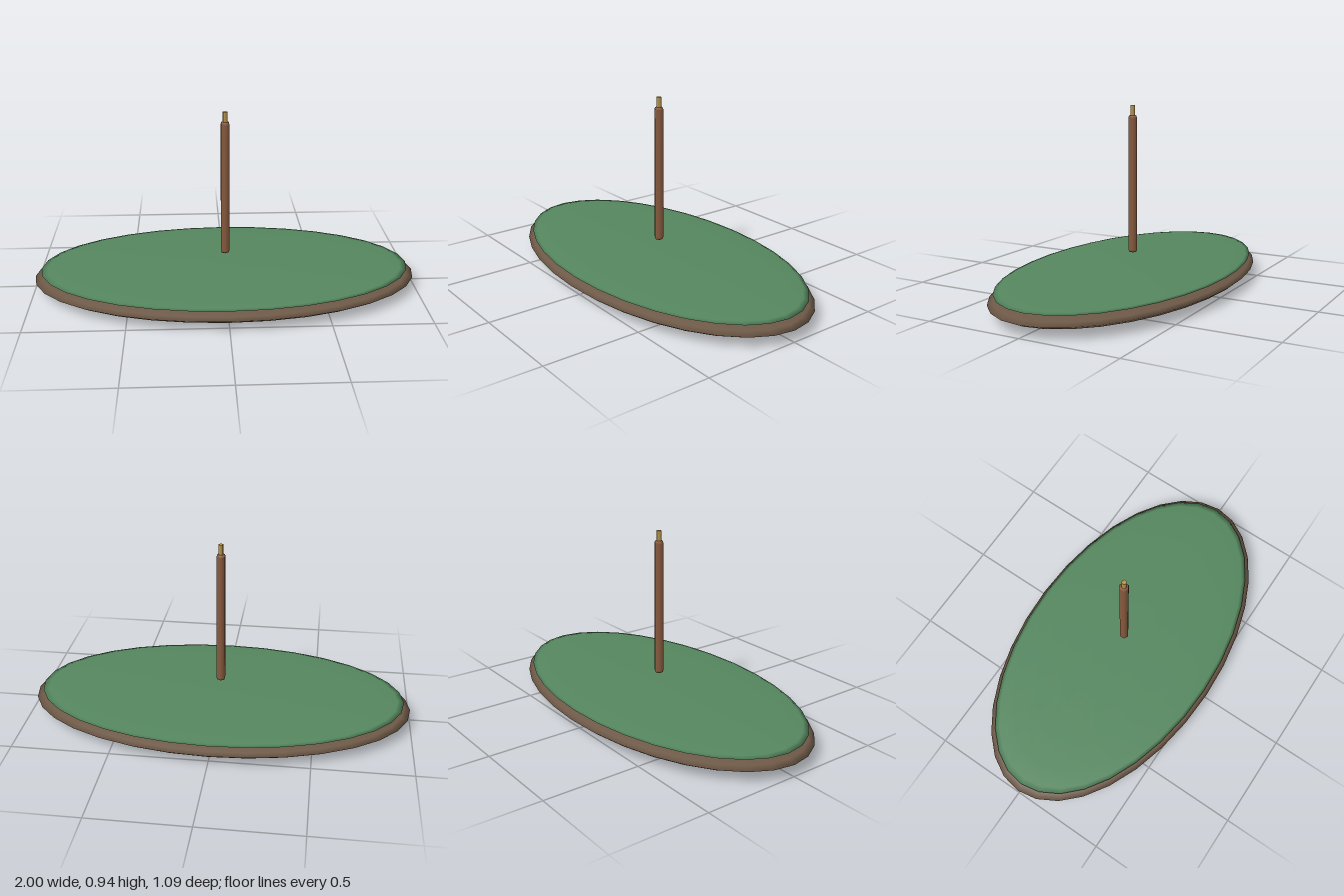
import * as THREE from 'three';

const paint = (name, color) => {
  const m = new THREE.MeshStandardMaterial({ color });
  m.name = name;
  return m;
};

export function createModel() {
  const earth = paint('earth brown', 0x6e5947);
  const grass = paint('grass green', 0x55875f);
  const wood = paint('wood brown', 0x8a5c40);
  const brass = paint('brass', 0xb8944c);

  const model = new THREE.Group();
  const add = (name, geometry, material, y) => {
    const mesh = new THREE.Mesh(geometry, material);
    mesh.name = name;
    mesh.position.y = y;
    model.add(mesh);
  };

  // Flattened oval mounds: earth base with a thinner grass layer on top
  const mound = (rx, ry, rz) => new THREE.SphereGeometry(1, 32, 12).scale(rx, ry, rz);
  add('earthBase', mound(1, 0.059, 0.546), earth, 0.059);
  add('grassLayer', mound(0.965, 0.018, 0.525), grass, 0.103);

  // Floating six-sided post with chamfered ends
  const r = 0.025, h = 0.355;
  const profile = [[0, -h], [0.017, -h], [0.022, -h + 0.004], [r, -h + 0.013],
    [r, h - 0.013], [0.022, h - 0.004], [0.017, h], [0, h]]
    .map(([x, y]) => new THREE.Vector2(x, y));
  add('post', new THREE.LatheGeometry(profile, 6), wood, 0.533);

  // Small metal tip
  add('postTip', new THREE.CylinderGeometry(0.013, 0.013, 0.06, 6), brass, 0.91);

  return model;
}
